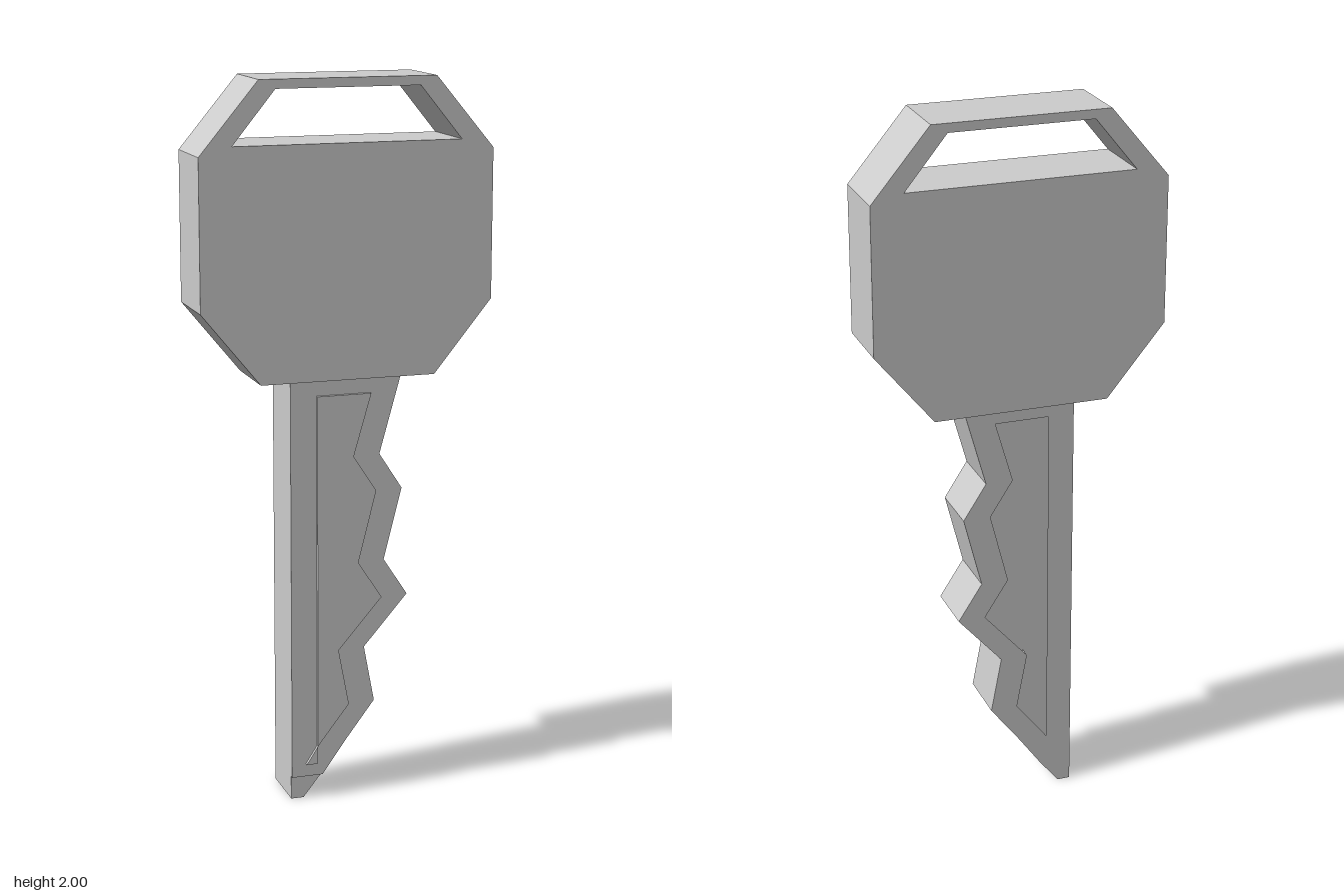
import * as THREE from 'three';

const material = new THREE.MeshStandardMaterial({ color: 0xcccccc, flatShading: true });
const points = (list) => list.map(([x, y]) => new THREE.Vector2(x, y));

// Flat plate cut from an outline, reaching from z0 to z1
function plate(name, outline, z0, z1, hole) {
  const shape = new THREE.Shape(points(outline));
  if (hole) shape.holes.push(new THREE.Path(points(hole)));
  const geometry = new THREE.ExtrudeGeometry(shape, { depth: z1 - z0, bevelEnabled: false });
  geometry.translate(0, 0, z0);
  const mesh = new THREE.Mesh(geometry, material);
  mesh.name = name;
  return mesh;
}

export function createModel() {
  const key = new THREE.Group();
  key.name = 'key';

  // Eight-sided head with a slot for the key ring
  const head = [[-0.245, 1.195], [0.245, 1.195], [0.408, 1.395], [0.408, 1.805],
    [0.245, 2], [-0.245, 2], [-0.408, 1.805], [-0.408, 1.395]];
  const slot = [[-0.318, 1.83], [0.318, 1.83], [0.2, 1.975], [-0.2, 1.975]];
  key.add(plate('head', head, -0.103, 0.103, slot));

  // Toothed edge shared by the blade and, shifted inward, by its panels
  const teeth = [[0.093, 0.98], [0.158, 0.879], [0.107, 0.678], [0.175, 0.573],
    [0.05, 0.43], [0.08, 0.27]];
  const innerTeeth = teeth.map(([x, y]) => [x - 0.077, y]);

  const blade = new THREE.Group();
  blade.name = 'blade';
  const outline = [[-0.16, 1.195], [0.153, 1.195], ...teeth, [0, 0.165], [-0.071, 0.066], [-0.16, 0.066]];
  const panel = [[-0.087, 1.153], [0.066, 1.153], ...innerTeeth, [-0.08, 0.164], [-0.087, 0.154]];

  // Solid front layer, and a back layer cut open to leave a pocket
  blade.add(plate('bladeBody', outline, -0.04, 0.09));
  blade.add(plate('bladeBack', outline, -0.075, -0.04, panel));

  // Raised panel on the front with its small pointed foot
  blade.add(plate('raisedPanel', panel, 0.085, 0.1));
  blade.add(plate('panelFoot', [[-0.087, 0.154], [-0.12, 0.103], [-0.087, 0.103]], 0.085, 0.1));

  // Slightly thinner tip
  blade.add(plate('tip', [[-0.16, 0.066], [-0.071, 0.066], [-0.124, 0], [-0.16, 0]], -0.075, 0.08));
  key.add(blade);

  return key;
}
